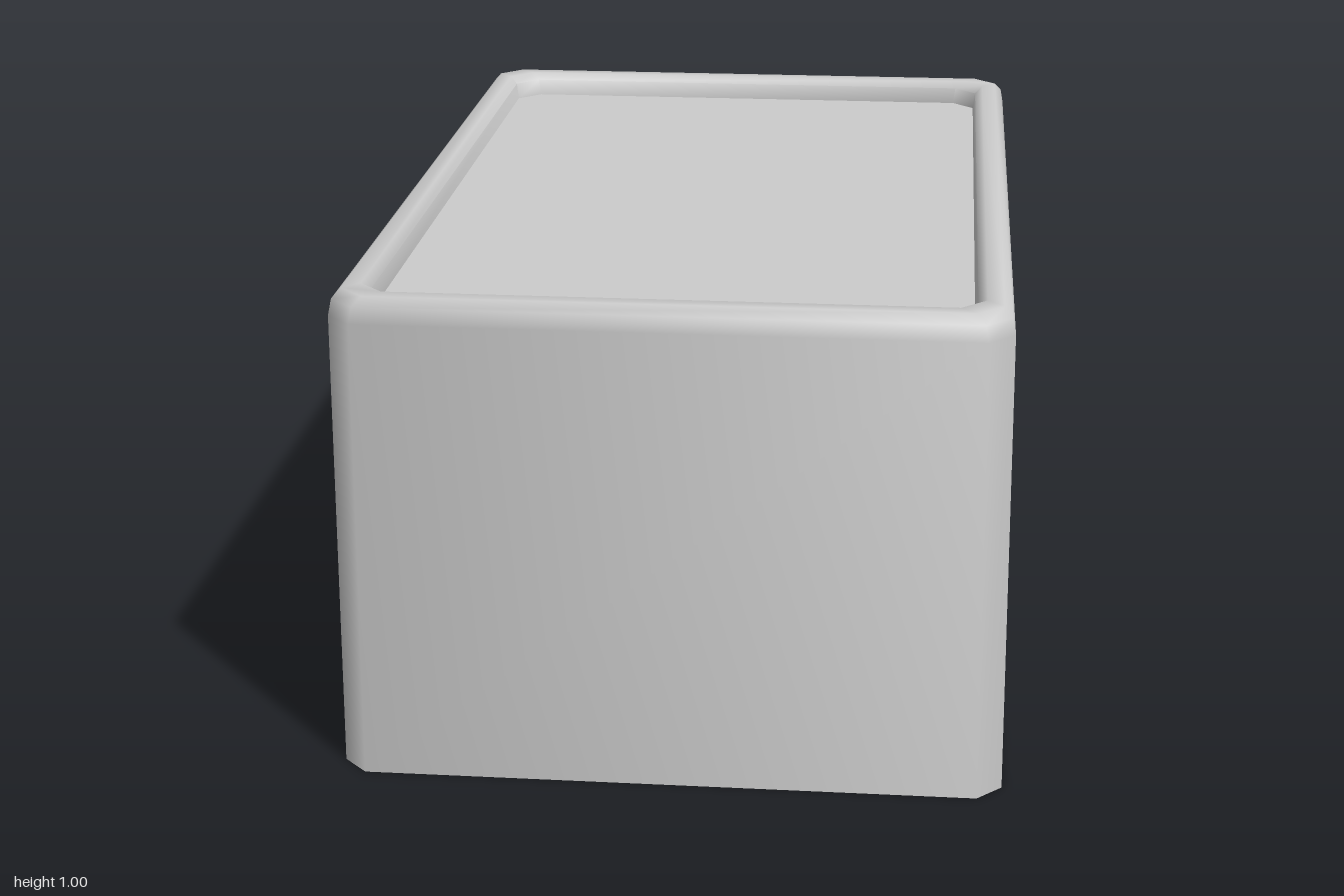
import * as THREE from 'three';
import { toCreasedNormals } from 'three/addons/utils/BufferGeometryUtils.js';

const HX = 0.665, HZ = 1, CUT = 0.05;        // half width, half length, corner cut
const EAVE = 0.95, LEAN = 0.008;             // top of the flat walls and their inward lean
const WIN = 0.0725, WIN_Y = 0.738;           // window half size and centre height

const V = (x, y, z) => new THREE.Vector3(x, y, z);

// Collects triangles and turns them into a mesh
class Builder {
  constructor() { this.points = []; }
  tri(a, b, c) { this.points.push(a, b, c); }
  quad(a, b, c, d) { this.tri(a, b, c); this.tri(a, c, d); }
  // Joins two outlines of equal length, for the chosen segments
  loft(a, b, closed = true, pick = () => true) {
    const n = a.length;
    for (let k = 0; k < (closed ? n : n - 1); k++) {
      if (pick(k)) this.quad(a[k], a[(k + 1) % n], b[(k + 1) % n], b[k]);
    }
  }
  mesh(name, material) {
    const geometry = new THREE.BufferGeometry().setFromPoints(this.points);
    const mesh = new THREE.Mesh(toCreasedNormals(geometry, Math.PI / 3), material);
    mesh.name = name;
    return mesh;
  }
}

// Rectangle with cut corners at height y, set in from the footprint
function ring(y, inset) {
  const X = HX - inset, Z = HZ - inset, x = X - CUT, z = Z - CUT;
  return [[-x, Z], [x, Z], [X, z], [X, -z], [x, -Z], [-x, -Z], [-X, -z], [-X, z]]
    .map(([px, pz]) => V(px, y, pz));
}

// Square outline in wall coordinates (u, y)
const square = (u, y, r) => [[u - r, y - r], [u + r, y - r], [u + r, y + r], [u - r, y + r]];

export function createModel() {
  const group = new THREE.Group();
  const material = new THREE.MeshStandardMaterial({ color: 0xcccccc, side: THREE.DoubleSide });
  const walls = new Builder(), doorFrame = new Builder(), roof = new Builder();

  // Walls turn around the vertical axis: front, right, back, left
  const sides = [
    { windows: [] },
    { windows: [0.068, 0.398, 0.73], door: [-0.67, -0.335, 0.82] },
    { windows: [-0.42, -0.1] },
    { windows: [] },
  ];
  sides.forEach(({ windows, door }, i) => {
    const out = i % 2 ? HX : HZ, half = (i % 2 ? HZ : HX) - CUT;
    const place = ([u, y], depth = 0) =>
      V(u, y, out - LEAN * y / EAVE - depth).applyAxisAngle(V(0, 1, 0), i * Math.PI / 2);

    // Wall panel with its openings
    const outline = [[-half, 0]];
    if (door) {
      const [l, r, top] = door;
      const edge = [[l, 0], [l, top], [r, top], [r, 0]];
      outline.push(...edge);
      doorFrame.loft(edge.map(p => place(p)), edge.map(p => place(p, 0.09)), false);
    }
    outline.push([half, 0], [half - LEAN, EAVE], [-half + LEAN, EAVE]);
    const toV2 = list => list.map(([u, y]) => new THREE.Vector2(u, y));
    const shape = new THREE.Shape(toV2(outline));
    for (const u of windows) {
      const outer = square(u, WIN_Y, WIN + 0.017), inner = square(u, WIN_Y, WIN);
      shape.holes.push(new THREE.Path(toV2(outer)));
      // Softened window reveal, running into the room
      const steps = [[outer, 0], [inner, 0.022], [inner, 0.085]]
        .map(([list, d]) => list.map(p => place(p, d)));
      walls.loft(steps[0], steps[1]);
      walls.loft(steps[1], steps[2]);
    }
    const panel = new THREE.ShapeGeometry(shape);
    const pos = panel.attributes.position;
    const at = k => place([pos.getX(k), pos.getY(k)]);
    const idx = panel.index.array;
    for (let k = 0; k < idx.length; k += 3) walls.tri(at(idx[k]), at(idx[k + 1]), at(idx[k + 2]));
  });

  // Cut corners between the walls
  walls.loft(ring(0, 0), ring(EAVE, LEAN), true, k => k % 2 === 1);

  // Rounded parapet rim
  const rim = [[EAVE, LEAN], [0.982, 0.014], [1, 0.03], [1, 0.062], [0.985, 0.079], [EAVE - 0.002, 0.084]]
    .map(([y, inset]) => ring(y, inset));
  for (let k = 0; k + 1 < rim.length; k++) walls.loft(rim[k], rim[k + 1]);

  // Flat roof inside the rim
  const edge = rim[rim.length - 1];
  for (let k = 1; k < 7; k++) roof.tri(edge[0], edge[k], edge[k + 1]);

  group.add(
    walls.mesh('walls', material),
    doorFrame.mesh('doorFrame', material),
    roof.mesh('roof', material),
  );
  return group;
}
